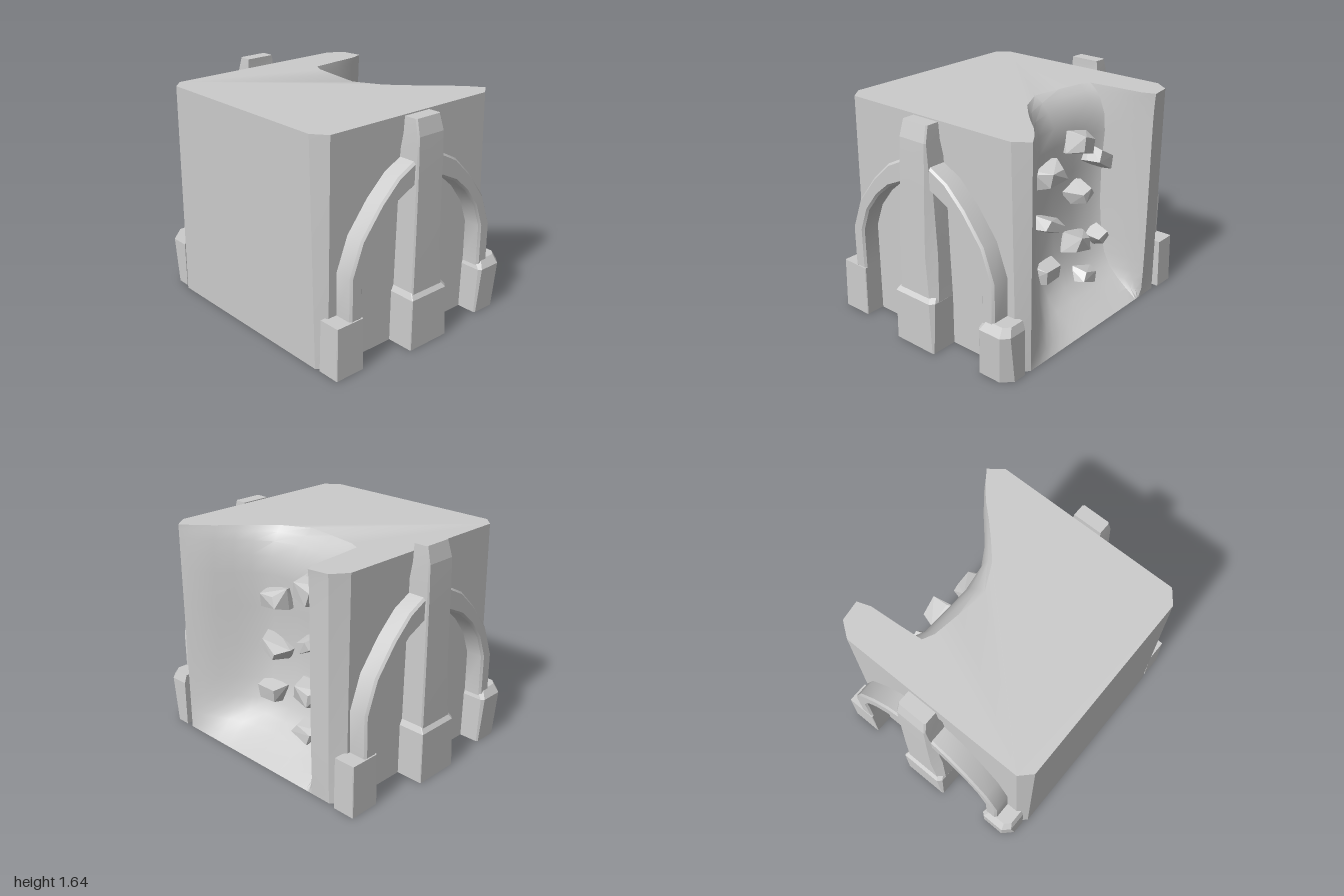
import * as THREE from 'three';
import { toCreasedNormals } from 'three/addons/utils/BufferGeometryUtils.js';
import { ConvexGeometry } from 'three/addons/geometries/ConvexGeometry.js';

const material = new THREE.MeshStandardMaterial({ color: 0xcccccc });

function part(name, geometry, parent) {
  const mesh = new THREE.Mesh(geometry, material);
  mesh.name = name;
  parent.add(mesh);
  return mesh;
}

// Solid through horizontal rings; each ring is { y, pts: [[x, z], ...] }, anticlockwise from above
function loft(rings, crease) {
  const pos = [];
  const n = rings[0].pts.length;
  const at = (j, i) => {
    const [x, z] = rings[j].pts[i % n];
    return [x, rings[j].y, z];
  };
  for (let j = 0; j < rings.length - 1; j++) {
    for (let i = 0; i < n; i++) {
      const a = at(j, i), b = at(j, i + 1), c = at(j + 1, i + 1), d = at(j + 1, i);
      pos.push(...a, ...b, ...c, ...a, ...c, ...d);
    }
  }
  for (const j of [0, rings.length - 1]) {
    const flat = rings[j].pts.map(([x, z]) => new THREE.Vector2(x, -z));
    for (const [a, b, c] of THREE.ShapeUtils.triangulateShape(flat, [])) {
      const order = j ? [a, b, c] : [a, c, b];
      order.forEach((k) => pos.push(...at(j, k)));
    }
  }
  const geometry = new THREE.BufferGeometry();
  geometry.setAttribute('position', new THREE.Float32BufferAttribute(pos, 3));
  return toCreasedNormals(geometry, crease);
}

// Block with a hollow scooped out of its back
function bodyGeometry() {
  // back edge as [x, z at foot, z on the wall, z at the top rim]
  const back = [
    [0.72, -0.78, -0.78, -0.78], [0.62, -0.78, -0.73, -0.71], [0.52, -0.78, -0.65, -0.62],
    [0.42, -0.78, -0.56, -0.51], [0.32, -0.78, -0.48, -0.41], [0.2, -0.78, -0.41, -0.3],
    [0, -0.78, -0.385, -0.2], [-0.22, -0.78, -0.39, -0.23], [-0.42, -0.78, -0.4, -0.26],
    [-0.5, -0.78, -0.44, -0.3], [-0.52, -0.78, -0.55, -0.5], [-0.535, -0.78, -0.68, -0.7],
    [-0.57, -0.78, -0.79, -0.8], [-0.72, -0.78, -0.78, -0.78],
  ];
  // [y, depth of hollow, blend towards the rim]
  const levels = [
    [0, 0, 0], [0.06, 0.25, 0], [0.13, 0.52, 0], [0.2, 0.73, 0], [0.3, 0.88, 0], [0.45, 0.98, 0],
    [0.7, 1.05, 0], [1, 1.05, 0], [1.25, 1, 0], [1.38, 1, 0.08], [1.48, 1, 0.35], [1.54, 1, 0.65], [1.58, 1, 1],
  ];
  const rings = levels.map(([y, depth, rim]) => {
    const t = y / 1.58;
    const pts = [[0.74 - 0.04 * t, 0.8], [0.8, 0.74 - 0.02 * t], [0.8, -0.72 + 0.04 * t]];
    for (const [x, foot, wall, top] of back) {
      const z = foot + (wall - foot) * depth;
      pts.push([x, z + (top - z) * rim]);
    }
    pts.push([-0.8, -0.7 + 0.03 * t], [-0.8, 0.74 - 0.02 * t], [-0.74 + 0.02 * t, 0.8]);
    return { y, pts };
  });
  return loft(rings, 0.6);
}

// Pointed arch with chamfered edges, running along z
function archGeometry() {
  const outer = [[0.67, 0.36], [0.67, 0.67], [0.58, 0.9], [0.42, 1.1], [0.27, 1.24], [0.13, 1.31], [0, 1.36]];
  const inner = [[0.565, 0.36], [0.565, 0.67], [0.5, 0.84], [0.39, 0.98], [0.27, 1.08], [0.12, 1.15], [0, 1.19]];
  const mirror = (list) => list.slice(0, -1).reverse().map(([z, y]) => [-z * 0.97, y]);
  const outline = [...outer, ...mirror(outer), ...mirror(inner).reverse(), ...inner.slice().reverse()];
  const b = 0.015;
  const shape = new THREE.Shape(outline.map(([z, y]) => new THREE.Vector2(-z, y)));
  const geometry = new THREE.ExtrudeGeometry(shape, {
    depth: 0.16 - 2 * b, bevelThickness: b, bevelSize: b, bevelOffset: -b, bevelSegments: 1,
  });
  geometry.rotateY(Math.PI / 2).translate(0.775 + b, 0, 0);
  return toCreasedNormals(geometry, 0.4);
}

// Rectangle ring with its two outer corners cut, c0 at the front and c1 at the back
function cutRing(y, x0, x1, z0, z1, c0, c1) {
  return { y, pts: [[x0, z0], [x1 - c0, z0], [x1, z0 - c0], [x1, z1 + c1], [x1 - c1, z1], [x0, z1]] };
}

// Pilaster, arch and plinths for one side wall
function buttress(name, height) {
  const group = new THREE.Group();
  group.name = name;
  const shaft = part('pilasterShaft', loft([
    cutRing(0.36, 0.78, 0.975, 0.16, -0.165, 0.01, 0.045),
    cutRing(0.7, 0.78, 0.97, 0.15, -0.15, 0.01, 0.06),
    cutRing(1.15, 0.78, 0.96, 0.135, -0.135, 0.01, 0.04),
    cutRing(1.3, 0.79, 0.957, 0.132, -0.12, 0.01, 0.02),
    cutRing(1.47, 0.82, 0.95, 0.128, -0.11, 0.01, 0.01),
    cutRing(1.58, 0.82, 0.92, 0.12, -0.1, 0.01, 0.01),
  ], 0.2), group);
  shaft.scale.y = height / 1.58;
  part('pilasterBase', loft([
    cutRing(0, 0.78, 1, 0.185, -0.165, 0.005, 0.01),
    cutRing(0.37, 0.78, 0.998, 0.18, -0.165, 0.005, 0.03),
    cutRing(0.41, 0.78, 0.965, 0.16, -0.145, 0.005, 0.03),
  ], 0.2), group);
  part('arch', archGeometry(), group);
  part('frontPlinth', loft([
    cutRing(0, 0.78, 0.945, 0.795, 0.565, 0.005, 0.005),
    cutRing(0.37, 0.78, 0.94, 0.785, 0.565, 0.005, 0.005),
  ], 0.2), group);
  part('backPlinth', loft([
    cutRing(0, 0.78, 0.95, -0.53, -0.78, 0.01, 0.07),
    cutRing(0.34, 0.78, 0.97, -0.54, -0.78, 0.02, 0.05),
    cutRing(0.4, 0.78, 0.93, -0.56, -0.76, 0.03, 0.04),
  ], 0.2), group);
  return group;
}

// Rough stone: a jittered block tapering away from the wall
function stoneGeometry(w, h, d, seed) {
  let s = seed;
  const jitter = () => ((s = (s * 16807) % 2147483647) / 2147483647 - 0.5);
  const points = [];
  for (const x of [-1, 1]) for (const y of [-1, 1]) for (const z of [-1, 0.2, 1]) {
    const k = z < 0 ? 0.65 : 1;
    points.push(new THREE.Vector3(
      (x * k + jitter() * 0.4) * w / 2, (y * k + jitter() * 0.4) * h / 2, (z + jitter() * 0.3) * d / 2));
  }
  return new ConvexGeometry(points);
}

export function createModel() {
  const model = new THREE.Group();
  model.name = 'stoneBlock';
  part('body', bodyGeometry(), model);

  // Side supports, the second turned half round
  model.add(buttress('leftButtress', 1.58));
  const right = buttress('rightButtress', 1.64);
  right.rotation.y = Math.PI;
  model.add(right);

  // Stones set in the hollow: x, y, width, height, tilt
  const stones = [
    [0.13, 1.1, 0.2, 0.14, -0.2], [-0.2, 1.24, 0.17, 0.15, 0.3], [-0.43, 1.07, 0.24, 0.12, 0.5],
    [0.15, 0.74, 0.22, 0.1, 0.45], [-0.21, 0.86, 0.16, 0.1, -0.4], [0.17, 0.38, 0.2, 0.13, 0.05],
    [-0.19, 0.49, 0.19, 0.14, 0.25], [-0.22, 0.22, 0.19, 0.11, 0.3], [-0.44, 0.45, 0.13, 0.12, -0.6],
  ];
  stones.forEach(([x, y, w, h, tilt], i) => {
    const stone = part('stone', stoneGeometry(w, h, 0.18, 911 * (i + 3)), model);
    stone.position.set(x, y, y < 0.3 ? -0.47 : -0.43);
    stone.rotation.z = tilt;
  });
  return model;
}
